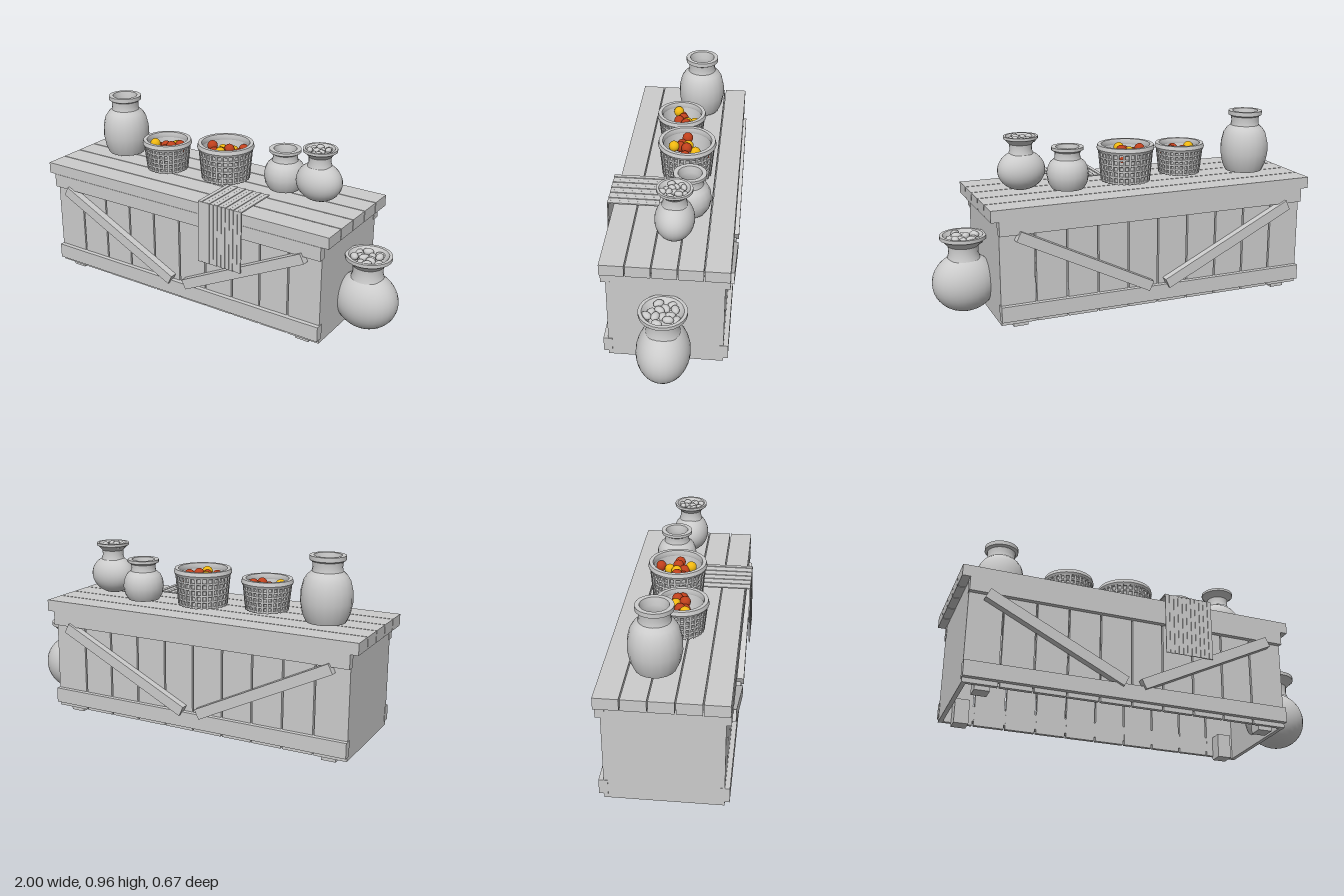
import * as THREE from 'three';
import { toCreasedNormals } from 'three/addons/utils/BufferGeometryUtils.js';

const material = (color = 0xcccccc, side = THREE.FrontSide) => new THREE.MeshStandardMaterial({ color, side });
const GREY = material(), RED = material(0xc0401c), YELLOW = material(0xf0b810);

export function createModel() {
  const root = new THREE.Group();
  root.name = 'marketStall';

  const group = (name, x = 0, y = 0, z = 0, parent = root) => {
    const g = new THREE.Group();
    g.name = name;
    g.position.set(x, y, z);
    parent.add(g);
    return g;
  };
  const add = (parent, name, geometry, mat = GREY) => {
    const mesh = new THREE.Mesh(geometry, mat);
    mesh.name = name;
    parent.add(mesh);
    return mesh;
  };
  // Box given by its limits on each axis
  const box = (parent, name, x0, x1, y0, y1, z0, z1) => {
    const mesh = add(parent, name, new THREE.BoxGeometry(x1 - x0, y1 - y0, z1 - z0));
    mesh.position.set((x0 + x1) / 2, (y0 + y1) / 2, (z0 + z1) / 2);
    return mesh;
  };
  const lathe = (points, sides = 24) => toCreasedNormals(
    new THREE.LatheGeometry(points.map(([r, y]) => new THREE.Vector2(r, y)), sides), 0.65);

  // Counter top of five planks
  const crate = group('crate');
  for (let i = 0; i < 5; i++) {
    const z = -0.32 + i * 0.1247;
    box(crate, 'topPlank', -1, 0.765, 0.56, 0.62, z, z + 0.119);
  }

  // Front and back walls: upright planks, rails and diagonal braces
  const diagonals = [[-0.872, 0.481, -0.163, 0.131], [0.633, 0.481, -0.072, 0.131]];
  for (const s of [1, -1]) {
    const wall = group(s > 0 ? 'frontWall' : 'backWall', 0, 0, -0.01, crate);
    const slab = (name, x0, x1, y0, y1, a, b) =>
      box(wall, name, x0, x1, y0, y1, Math.min(s * a, s * b), Math.max(s * a, s * b));
    for (let i = 0; i < 10; i++) {
      const x = -0.945 + i * 0.1655;
      slab('wallPlank', x, x + 0.157, 0.022, 0.56, 0.265, 0.286);
    }
    slab('topRail', -0.96, 0.725, 0.487, 0.56, 0.266, 0.31);
    slab('bottomRail', -0.96, 0.725, 0.045, 0.125, 0.266, 0.31);
    for (const [x0, y0, x1, y1] of diagonals) {
      const brace = add(wall, 'diagonalBrace',
        new THREE.BoxGeometry(Math.hypot(x1 - x0, y1 - y0), 0.055, 0.04));
      brace.position.set((x0 + x1) / 2, (y0 + y1) / 2, s * 0.305);
      brace.rotation.z = Math.atan2(y1 - y0, x1 - x0);
    }
    // Corner feet
    for (const x of [-0.895, 0.58]) slab('foot', x, x + 0.075, 0, 0.13, 0.195, 0.269);
  }
  box(crate, 'leftEndPanel', 0.7, 0.722, 0.022, 0.56, -0.296, 0.276);
  box(crate, 'rightEndPanel', -0.958, -0.936, 0.022, 0.56, -0.296, 0.276);

  // Striped cloth lying on the counter and hanging over the front
  const cloth = group('cloth');
  for (let i = 0; i < 11; i++) {
    const x = 0.04 + i * 0.0237, d = (i % 2) * 0.002;
    box(cloth, 'clothStripTop', x, x + 0.0205, 0.643 - d, 0.647 - d, 0.065, 0.327);
    const hang = box(cloth, 'clothStripHanging', x, x + 0.0205, 0.313, 0.645, 0.328 - d, 0.332 - d);
    hang.rotation.x = -0.02;
  }
  box(cloth, 'clothBackingTop', 0.042, 0.298, 0.64, 0.643, 0.066, 0.325);
  box(cloth, 'clothBackingHanging', 0.042, 0.298, 0.316, 0.642, 0.324, 0.327).rotation.x = -0.02;

  // Tall and small round jars
  const tallJar = group('tallJar', -0.74, 0.635, -0.07);
  add(tallJar, 'jar', lathe([[0, 0], [0.1, 0], [0.118, 0.04], [0.129, 0.1], [0.127, 0.155], [0.115, 0.205],
    [0.098, 0.232], [0.077, 0.25], [0.073, 0.27], [0.076, 0.298], [0.09, 0.306], [0.09, 0.328],
    [0.068, 0.328], [0.06, 0.29], [0.06, 0.25], [0.09, 0.2], [0.09, 0.05], [0, 0.05]], 20));
  const smallJar = group('smallJar', 0.295, 0.635, -0.09);
  add(smallJar, 'jar', lathe([[0, 0], [0.083, 0], [0.101, 0.03], [0.108, 0.07], [0.104, 0.105], [0.09, 0.135],
    [0.068, 0.153], [0.064, 0.17], [0.066, 0.19], [0.083, 0.2], [0.083, 0.215],
    [0.06, 0.215], [0.053, 0.18], [0.055, 0.15], [0.075, 0.11], [0.075, 0.04], [0, 0.04]], 20));

  // Oval vases with a flared neck, filled with pebbles
  const vase = (name, x, y, z, rx, ry, rz, rim, height) => {
    const g = group(name, x, y, z);
    const body = add(g, 'vaseBody', new THREE.SphereGeometry(1, 28, 20));
    body.scale.set(rx, ry, rz);
    body.position.y = ry;
    const low = 1.82 * ry, span = height - low;
    add(g, 'vaseNeck', lathe([[0.72, 0], [0.64, 0.25], [0.66, 0.55], [0.94, 0.83], [1, 0.85], [1, 1], [0.86, 1],
      [0.58, 0.6], [0, 0.55]].map(([r, t]) => [r * rim, low + t * span])));
    for (let i = 0; i < 13; i++) {
      const r = rim * 0.72 * Math.sqrt((i + 0.2) / 13), a = i * 2.4;
      const pebble = add(g, 'pebble', new THREE.SphereGeometry(rim * 0.19, 10, 8));
      pebble.scale.set(1.25, 0.8, 0.9);
      pebble.rotation.y = a * 1.7;
      pebble.position.set(r * Math.cos(a), height - rim * (0.22 - 0.1 * (i % 2)), r * Math.sin(a));
    }
  };
  vase('counterVase', 0.524, 0.635, -0.037, 0.123, 0.103, 0.097, 0.087, 0.278);
  vase('floorVase', 0.832, 0.02, -0.011, 0.167, 0.155, 0.133, 0.118, 0.405);

  // Wicker baskets of fruit: core, hoops, staves and a rolled rim
  const basket = (name, x, z, bottom, top, height, fruit) => {
    const g = group(name, x, 0.635, z);
    const wall = height - 0.02;
    const radius = (y) => bottom + (top - bottom) * y / wall;
    add(g, 'basketCore', lathe([[0, 0], [bottom - 0.006, 0], [top - 0.006, wall],
      [top - 0.014, wall], [bottom - 0.014, 0.04], [0, 0.04]], 32));
    add(g, 'basketRim', lathe([[top - 0.014, wall - 0.012], [top + 0.006, wall - 0.012], [top + 0.012, wall],
      [top + 0.007, height], [top - 0.012, height], [top - 0.018, wall], [top - 0.014, wall - 0.012]], 32));
    const hoops = 6;
    for (let i = 0; i < hoops; i++) {
      const y = 0.007 + i * (wall - 0.018) / (hoops - 1);
      const hoop = add(g, 'wickerHoop', new THREE.TorusGeometry(radius(y), 0.006, 6, 32));
      hoop.rotation.x = Math.PI / 2;
      hoop.position.y = y;
    }
    const lean = Math.atan2(top - bottom, wall);
    for (let i = 0; i < 28; i++) {
      const pivot = group('wickerStave', 0, wall / 2, 0, g);
      pivot.rotation.y = i * Math.PI / 14;
      const stave = add(pivot, 'stave', new THREE.BoxGeometry(0.011, wall, 0.011));
      stave.position.z = radius(wall / 2);
      stave.rotation.x = lean;
    }
    fruit.forEach(([fx, fz, mat], i) => {
      const f = add(g, 'fruit', new THREE.SphereGeometry(0.028, 14, 10), mat);
      f.position.set(fx - x, height - 0.045 + 0.012 * (i % 3 - 1), fz - z);
    });
  };
  basket('smallBasket', -0.385, 0.013, 0.106, 0.122, 0.163, [
    [-0.375, -0.06, YELLOW], [-0.355, -0.02, YELLOW], [-0.45, 0.035, YELLOW], [-0.44, 0.015, RED],
    [-0.4, 0.005, RED], [-0.35, 0.025, RED], [-0.385, 0.028, RED], [-0.295, 0.008, RED], [-0.32, -0.015, RED]]);
  basket('largeBasket', -0.043, -0.046, 0.124, 0.14, 0.193, [
    [-0.023, -0.09, YELLOW], [-0.063, -0.05, YELLOW], [-0.033, 0.022, YELLOW], [0.01, -0.14, RED],
    [0.04, -0.042, RED], [-0.125, -0.042, RED], [-0.095, -0.016, RED], [-0.05, -0.01, RED], [-0.02, -0.045, RED]]);

  return root;
}
